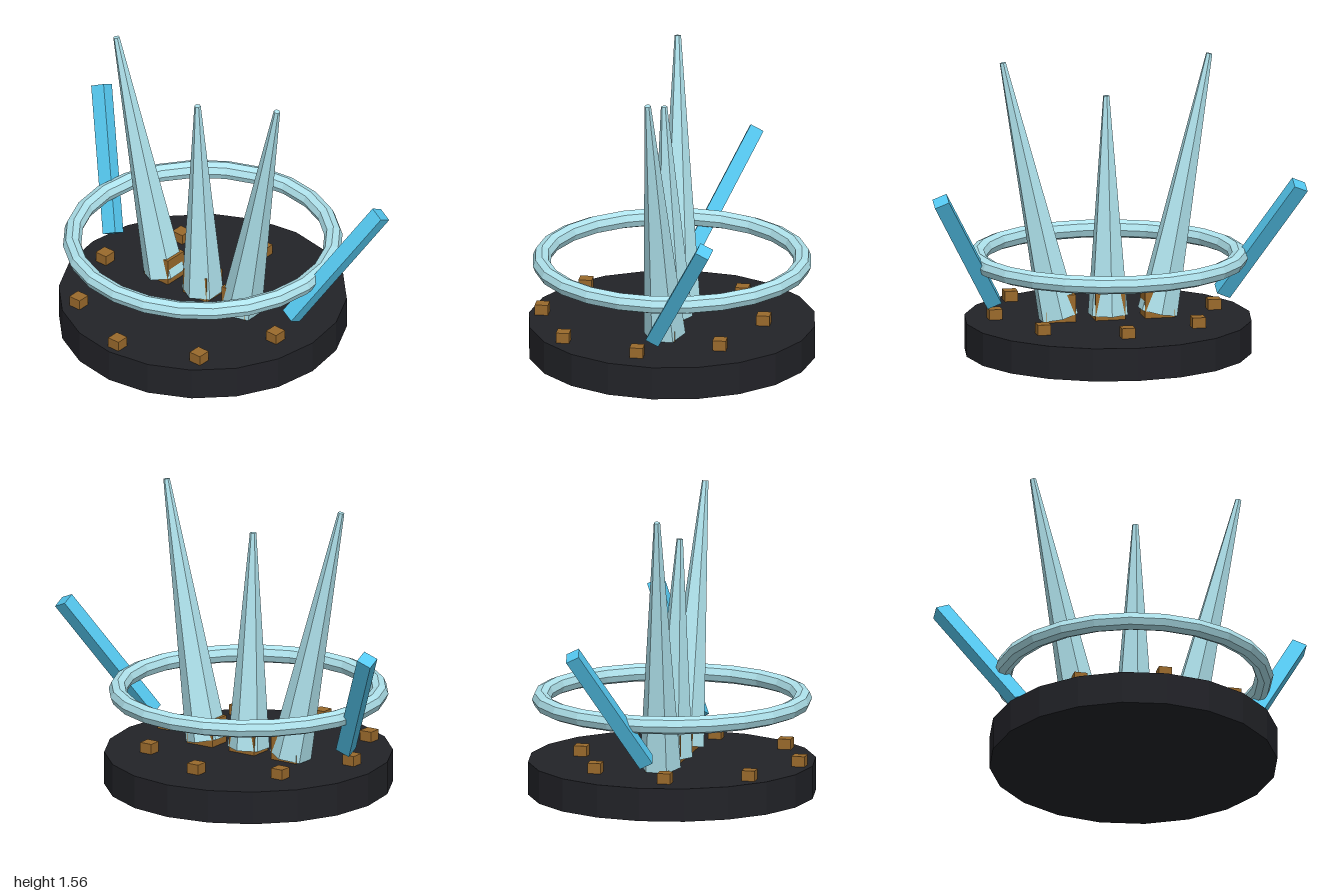
import * as THREE from 'three';

const mat = (color) => new THREE.MeshStandardMaterial({ color, flatShading: true });

export function createModel() {
  const group = new THREE.Group();
  const dark = mat(0x222328);
  const ice = mat(0xb0e4ee);
  const blue = mat(0x55c8f0);
  const copper = mat(0x9a6a2c);

  const add = (name, geometry, material, x, y, z) => {
    const mesh = new THREE.Mesh(geometry, material);
    mesh.name = name;
    mesh.position.set(x, y, z);
    group.add(mesh);
    return mesh;
  };

  // Round base
  add('base', new THREE.CylinderGeometry(0.755, 0.755, 0.175, 20), dark, 0, 0.0875, 0);

  // Floating ring
  const ring = add('ring', new THREE.TorusGeometry(0.685, 0.048, 8, 24), ice, 0, 0.5, 0);
  ring.rotation.x = Math.PI / 2;

  // Tapered six-sided spikes, each with a copper socket block at its foot
  const addSpike = (name, x, height, lean) => {
    const geometry = new THREE.CylinderGeometry(0.017, 0.11, height, 6);
    geometry.translate(0, height / 2, 0);
    const spike = add(name, geometry, ice, x, 0.195, 0);
    spike.rotation.set(0.036, 0, lean);
    add(name + 'Socket', new THREE.BoxGeometry(0.16, 0.145, 0.13), copper, x, 0.2475, 0);
  };
  addSpike('centerSpike', 0, 1.16, 0);
  addSpike('leftSpike', 0.265, 1.39, -0.208);
  addSpike('rightSpike', -0.265, 1.39, 0.208);

  // Slanted side bars
  for (const side of [1, -1]) {
    const bar = add(side > 0 ? 'leftBar' : 'rightBar',
      new THREE.BoxGeometry(0.08, 0.78, 0.075), blue, side * 0.786, 0.598, -0.152);
    bar.rotation.set(-0.467, 0, -side * 0.463);
  }

  // Circle of copper studs, set slightly forward
  for (let i = 0; i < 8; i++) {
    const a = (i / 8) * Math.PI * 2;
    add('stud', new THREE.BoxGeometry(0.07, 0.07, 0.07), copper,
      Math.sin(a) * 0.585, 0.195, 0.1 + Math.cos(a) * 0.585);
  }

  return group;
}
